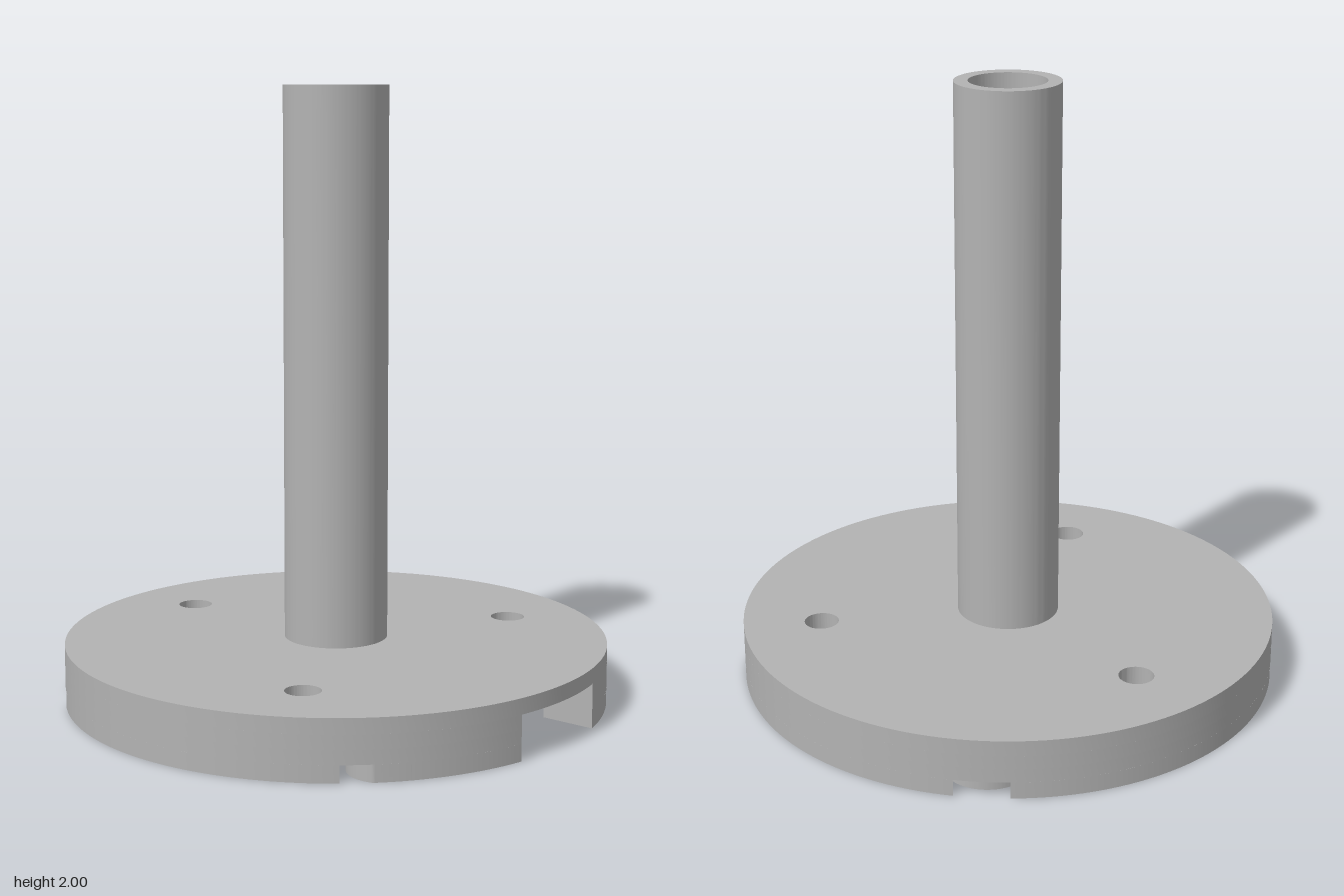
import * as THREE from 'three';
import { toCreasedNormals } from 'three/addons/utils/BufferGeometryUtils.js';

const R = 0.893, TOP = 0.196;           // flange radius and thickness
const POCKET = 0.69, POCKET_Y = 0.055;  // half width and depth of the square pocket
const SLOT = 0.2, SLOT_Y = 0.145, SLOT_BACK = -0.17;
const BORE = 0.125, TUBE = 0.17;
const SINK = 0.1, SINK_Y = 0.1, SCREW = 0.057, PILOT = 0.045;
const screws = [[0, -0.635], [0.55, 0.315], [-0.55, 0.315]];
const backBosses = [[0.5, -0.5], [-0.5, -0.5]];

export function createModel() {
  const group = new THREE.Group();
  const grey = new THREE.MeshStandardMaterial({ color: 0xb3b3b3 });
  grey.name = 'grey';

  // Plan shapes use (x, z); a slab is a plan shape between two heights
  function slab(name, shape, y0, y1) {
    const geo = new THREE.ExtrudeGeometry(shape, { depth: y1 - y0, bevelEnabled: false, curveSegments: 72 });
    geo.rotateX(Math.PI / 2).translate(0, y1, 0);
    const mesh = new THREE.Mesh(toCreasedNormals(geo, 0.5), grey);
    mesh.name = name;
    group.add(mesh);
  }
  const circle = (x, z, r) => new THREE.Shape().absarc(x, z, r, 0, Math.PI * 2, false);
  function drill(shape, centres, r) {
    for (const [x, z] of centres) shape.holes.push(circle(x, z, r));
    return shape;
  }

  // Disc with the cable slot open towards the front
  function slottedDisc() {
    const a = Math.acos(SLOT / R);
    const s = new THREE.Shape();
    s.absarc(0, 0, R, Math.PI - a, Math.PI * 2 + a, false);
    s.lineTo(SLOT, SLOT_BACK);
    s.lineTo(-SLOT, SLOT_BACK);
    s.closePath();
    return s;
  }

  // Flange layers from the top down
  slab('flangeTop', drill(drill(circle(0, 0, R), [[0, 0]], BORE), screws, SCREW), SLOT_Y, TOP);
  slab('flangeMiddle', drill(drill(slottedDisc(), screws, SCREW), backBosses, PILOT), SINK_Y, SLOT_Y);
  slab('flangeCounterbores', drill(drill(slottedDisc(), screws, SINK), backBosses, PILOT), POCKET_Y, SINK_Y);

  // Rim segments around the square pocket
  const a = Math.asin(POCKET / R);
  const c = Math.acos(POCKET / R);
  for (const mid of [0, Math.PI]) {
    const side = new THREE.Shape();
    side.absarc(0, 0, R, mid - c, mid + c, false);
    side.closePath();
    slab(mid ? 'rightRim' : 'leftRim', side, 0, POCKET_Y);
  }

  // Back rim with the bite of the rear counterbore
  const back = new THREE.Shape();
  const b = Math.asin((POCKET + screws[0][1]) / SINK);
  back.absarc(0, 0, R, Math.PI + a, Math.PI * 2 - a, false);
  back.absarc(0, screws[0][1], SINK, -b, Math.PI + b, true);
  back.closePath();
  slab('backRim', back, 0, POCKET_Y);

  // Front rim, divided by the slot
  const e = Math.acos(SLOT / R);
  const frontLeft = new THREE.Shape();
  frontLeft.absarc(0, 0, R, a, e, false);
  frontLeft.lineTo(SLOT, POCKET);
  frontLeft.closePath();
  slab('frontLeftRim', frontLeft, 0, POCKET_Y);
  const frontRight = new THREE.Shape();
  frontRight.absarc(0, 0, R, Math.PI - e, Math.PI - a, false);
  frontRight.lineTo(-SLOT, POCKET);
  frontRight.closePath();
  slab('frontRightRim', frontRight, 0, POCKET_Y);

  // Corner bosses: drilled at the back, solid and trimmed to the rim at the front
  for (const [x, z] of backBosses) {
    slab('backBoss', drill(circle(x, z, 0.14), [[x, z]], PILOT), 0, POCKET_Y);
  }
  for (const side of [1, -1]) {
    const pts = circle(side * 0.51, 0.6, 0.12).getPoints(64);
    pts.pop();
    pts.forEach((p) => p.clampLength(0, R));
    slab('frontBoss', new THREE.Shape(pts), 0, POCKET_Y);
  }

  // Hollow post
  slab('post', drill(circle(0, 0, TUBE), [[0, 0]], BORE), TOP, 2);
  return group;
}
